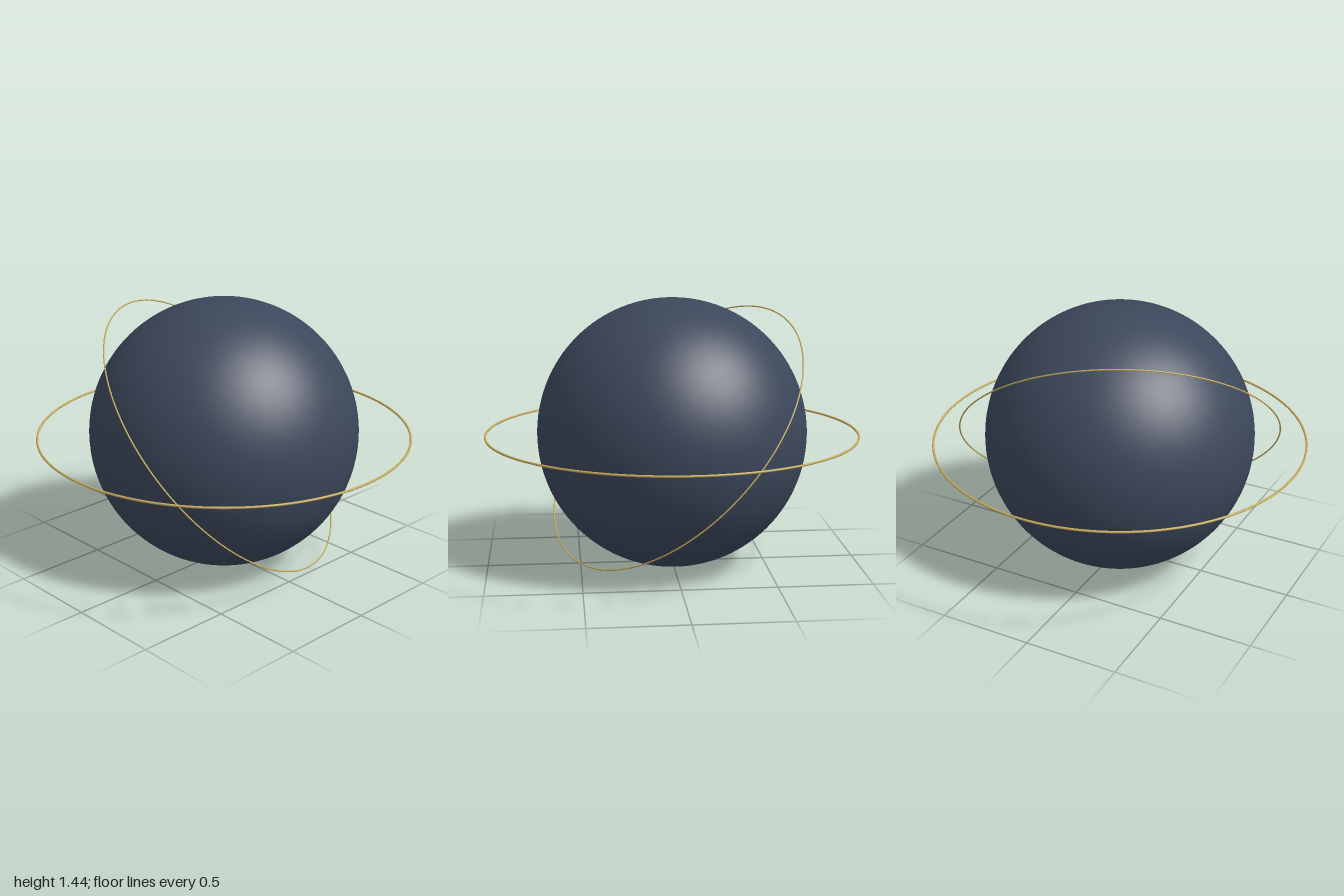
import * as THREE from 'three';

const CENTER_Y = 0.72;

export function createModel() {
  const slate = new THREE.MeshStandardMaterial({ color: 0x3c475b });
  slate.name = 'slate blue';
  const gold = new THREE.MeshStandardMaterial({ color: 0xc4a95c });
  gold.name = 'gold';

  const model = new THREE.Group();
  model.name = 'ringedGlobe';

  const add = (name, geometry, material) => {
    const mesh = new THREE.Mesh(geometry, material);
    mesh.name = name;
    mesh.position.y = CENTER_Y;
    model.add(mesh);
    return mesh;
  };

  // Smooth central sphere
  add('globe', new THREE.SphereGeometry(0.72, 96, 64), slate);

  // Level outer ring
  const outer = add('outerRing', new THREE.TorusGeometry(0.994, 0.006, 12, 200), gold);
  outer.rotation.x = Math.PI / 2;

  // Thinner inner ring, tilted 45 degrees and turned 20 degrees
  const inner = add('tiltedRing', new THREE.TorusGeometry(0.855, 0.0038, 12, 200), gold);
  inner.rotation.set(-Math.PI / 4, Math.PI / 9, 0);

  return model;
}
